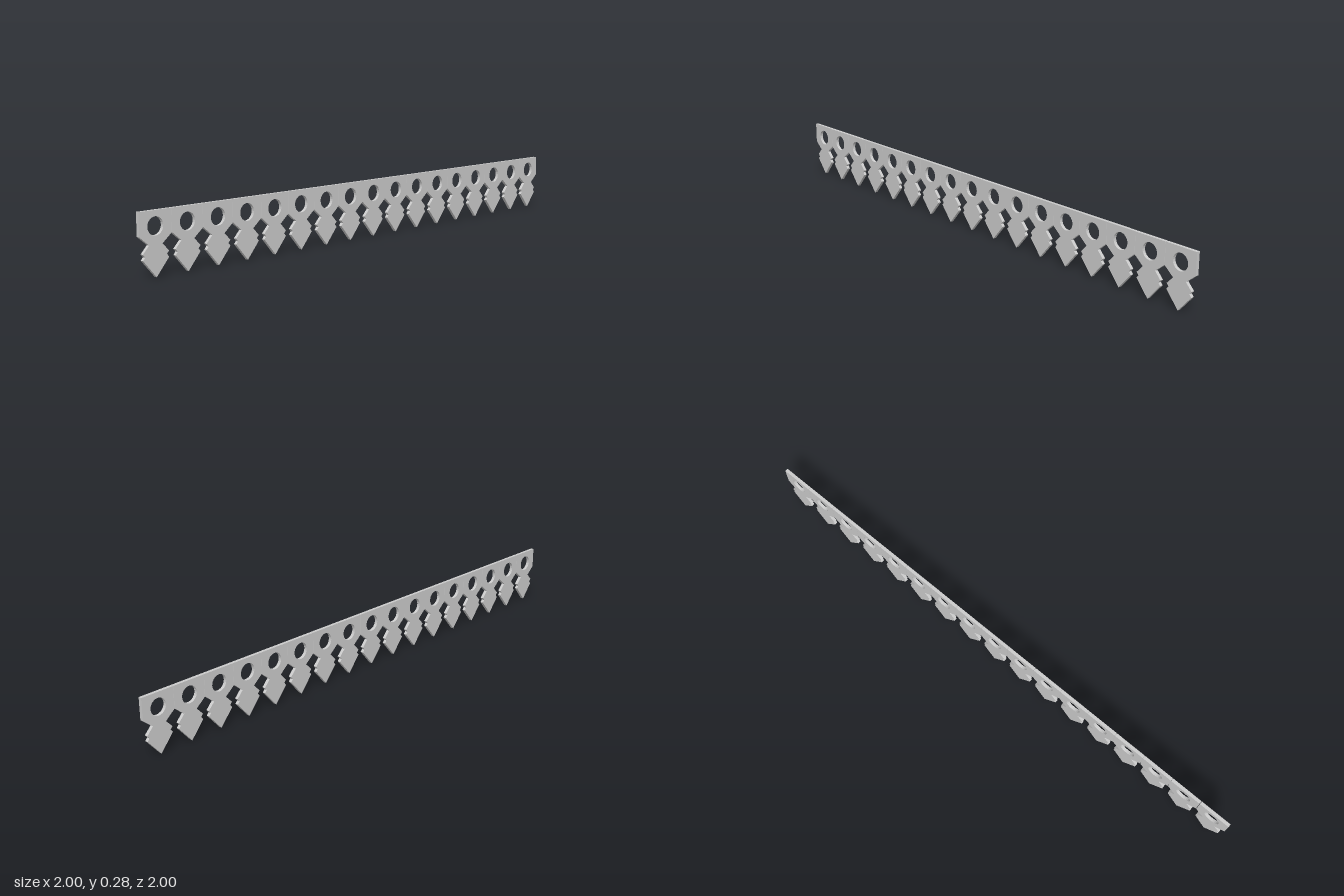
import * as THREE from 'three';

const COUNT = 17;
const THICK = 0.016;
const LENGTH = 2 * Math.SQRT2 - THICK;
const PITCH = LENGTH / COUNT;
const EDGE = PITCH / 2 - 0.0008; // hairline joint between boards

// Right half of a pendant outline, top to bottom
const HALF = [
  [EDGE, 0.28], [EDGE, 0.177], [0.034, 0.137], [0.066, 0.103],
  [0.055, 0.09], [0.066, 0.077], [0, 0],
];

function pendantGeometry() {
  const left = HALF.slice(0, -1).reverse().map(([x, y]) => [-x, y]);
  // Outline runs counter-clockwise, the piercing clockwise
  const outline = [...HALF, ...left].reverse().map(([x, y]) => new THREE.Vector2(x, y));
  const shape = new THREE.Shape(outline);
  // Round piercing in the upper board
  const hole = new THREE.Path();
  hole.absarc(0, 0.214, 0.04, 0, Math.PI * 2, true);
  shape.holes.push(hole);
  const geo = new THREE.ExtrudeGeometry(shape, { depth: THICK, bevelEnabled: false, curveSegments: 12 });
  return geo.translate(0, 0, -THICK / 2);
}

export function createModel() {
  const model = new THREE.Group();
  model.name = 'fretworkTrim';
  const material = new THREE.MeshStandardMaterial({ color: 0xcccccc });
  const geometry = pendantGeometry();

  // The trim runs diagonally, from front right to back left
  const row = new THREE.Group();
  row.name = 'pendantRow';
  row.rotation.y = Math.PI / 4;
  model.add(row);

  // Row of identical pierced pendants, side by side
  for (let i = 0; i < COUNT; i++) {
    const pendant = new THREE.Mesh(geometry, material);
    pendant.name = `pendant${i + 1}`;
    pendant.position.x = (i - (COUNT - 1) / 2) * PITCH;
    row.add(pendant);
  }
  return model;
}
